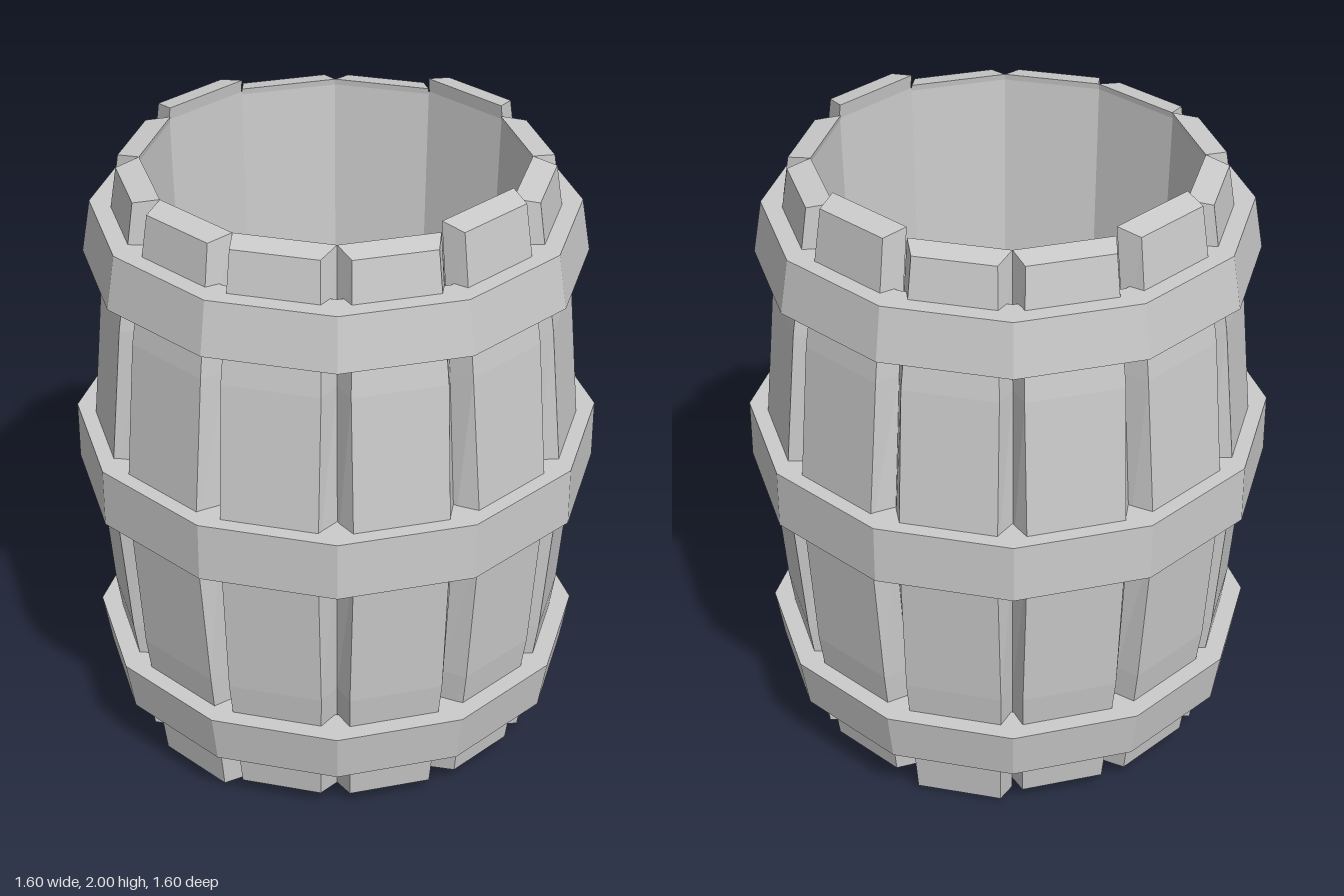
import * as THREE from 'three';

const SIDES = 12;
const STEP = (Math.PI * 2) / SIDES;
const HALF = STEP / 2;

// Small seeded generator for hand-cut irregularity, range -1..1
let seed = 7;
const jitter = (amount) => {
  seed = (seed * 16807) % 2147483647;
  return ((seed / 2147483647) * 2 - 1) * amount;
};

const wood = new THREE.MeshStandardMaterial({ color: 0xcccccc, flatShading: true });

function addMesh(parent, geometry, name) {
  const mesh = new THREE.Mesh(geometry, wood);
  mesh.name = name;
  parent.add(mesh);
  return mesh;
}

// Twelve-sided lathe; profile is [distance to flat, height]
function twelveSided(profile) {
  const points = profile.map(([flat, y]) => new THREE.Vector2(flat / Math.cos(HALF), y));
  return new THREE.LatheGeometry(points, SIDES, HALF).toNonIndexed();
}

// Stave facing +z: a bulging plank with a trapezoid cross-section
function staveGeometry(bottom, top) {
  const left = [jitter(0.012), jitter(0.012)];
  const right = [jitter(0.012), jitter(0.012)];
  const levels = [
    [bottom, 0.655, 0.132],
    [0.46, 0.715, 0.15],
    [1.0, 0.76, 0.152],
    [1.54, 0.715, 0.15],
    [top, 0.655, 0.132],
  ];
  const positions = [];
  const index = [];
  levels.forEach(([y, outer, half], i) => {
    const t = i / 4;
    const inner = outer - 0.078;
    const innerHalf = inner * Math.tan(HALF);
    const l = half + left[0] * (1 - t) + left[1] * t;
    const r = half + right[0] * (1 - t) + right[1] * t;
    // Ends are cut with a slight slope towards the outside
    const slope = i === 0 ? 0.01 : i === 4 ? -0.014 : 0;
    positions.push(-l, y + slope, outer, r, y + slope, outer, innerHalf, y, inner, -innerHalf, y, inner);
    if (i === 0) return;
    const lo = (i - 1) * 4;
    const hi = i * 4;
    for (let j = 0; j < 4; j++) {
      const k = (j + 1) % 4;
      index.push(lo + j, lo + k, hi + k, lo + j, hi + k, hi + j);
    }
  });
  index.push(0, 2, 1, 0, 3, 2, 16, 17, 18, 16, 18, 19);
  const geometry = new THREE.BufferGeometry();
  geometry.setAttribute('position', new THREE.Float32BufferAttribute(positions, 3));
  geometry.setIndex(index);
  const flat = geometry.toNonIndexed();
  flat.computeVertexNormals();
  return flat;
}

// Bottom board: a strip between u0 and u1, trimmed to a circle
function boardGeometry(u0, u1, radius, thickness) {
  const chord = (u) => Math.sqrt(Math.max(0, radius * radius - u * u));
  const outline = [];
  for (let i = 0; i <= 4; i++) {
    const u = u0 + ((u1 - u0) * i) / 4;
    outline.push(new THREE.Vector2(chord(u), u));
  }
  for (let i = 4; i >= 0; i--) outline.push(new THREE.Vector2(-outline[i].x, outline[i].y));
  const geometry = new THREE.ExtrudeGeometry(new THREE.Shape(outline), { depth: thickness, bevelEnabled: false });
  return geometry.rotateX(-Math.PI / 2);
}

export function createModel() {
  const barrel = new THREE.Group();
  barrel.name = 'barrel';

  // Staves, a few of them longer than the rest
  const tops = { 0: 2.0, 3: 2.0, 6: 1.995 };
  const bottoms = { 4: 0, 9: 0 };
  const staves = new THREE.Group();
  staves.name = 'staves';
  barrel.add(staves);
  for (let k = 0; k < SIDES; k++) {
    const stave = addMesh(staves, staveGeometry(bottoms[k] ?? 0.038, tops[k] ?? 1.965), `stave${k + 1}`);
    stave.rotation.y = k * STEP;
  }

  // Hoops: [bottom, top, lower flat distance, upper flat distance]
  const hoops = {
    lowerHoop: [0.185, 0.35, 0.73, 0.757],
    middleHoop: [0.91, 1.1, 0.8, 0.8],
    upperHoop: [1.65, 1.82, 0.757, 0.73],
  };
  for (const [name, [y0, y1, low, high]] of Object.entries(hoops)) {
    addMesh(barrel, twelveSided([[0.63, y0], [low, y0], [high, y1], [0.63, y1], [0.63, y0]]), name);
  }

  // Inner wall tapering down to the floor
  addMesh(barrel, twelveSided([[0.58, 1.955], [0.53, 0.16]]), 'innerWall');

  // Floor disc
  addMesh(barrel, twelveSided([[0, 0.14], [0.6, 0.14], [0.6, 0.17], [0, 0.17]]), 'floor');

  // Bottom boards with gaps between them
  const boards = new THREE.Group();
  boards.name = 'bottomBoards';
  boards.rotation.y = THREE.MathUtils.degToRad(-50);
  barrel.add(boards);
  const pitch = 0.3;
  for (let i = 0; i < 4; i++) {
    const u = (i - 2) * pitch;
    const board = addMesh(boards, boardGeometry(u + 0.022, u + pitch - 0.022, 0.605, 0.06), `bottomBoard${i + 1}`);
    board.position.y = 0.085;
  }

  return barrel;
}
